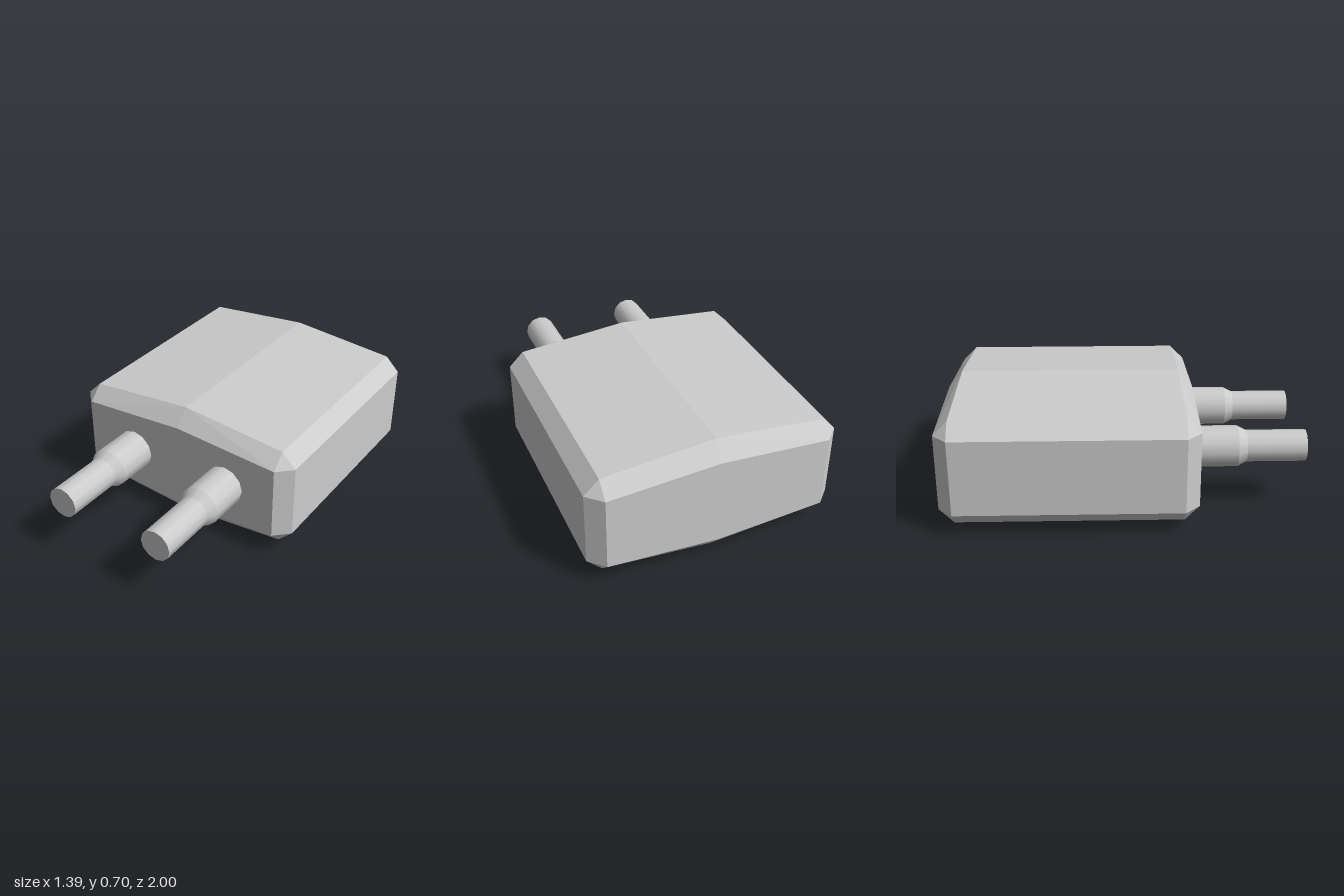
import * as THREE from 'three';
import { ConvexGeometry } from 'three/addons/geometries/ConvexGeometry.js';

const BACK = -1, FRONT = 0.39, BEVEL = 0.08;
const MID_Y = 0.348;

// Chamfered block with a shallow ridge along the middle of its top and bottom.
function bodyGeometry() {
  const points = [];
  const add = (x, h, z) => {
    for (const sy of [-1, 1]) points.push(new THREE.Vector3(x, MID_Y + sy * h, z));
  };
  for (const [faceZ, rimZ] of [[FRONT, FRONT - BEVEL], [BACK, BACK + BEVEL]]) {
    add(0, 0.252, faceZ);
    add(0, 0.348, rimZ);
    for (const s of [-1, 1]) {
      add(s * 0.613, 0.211, faceZ); // end face corner
      add(s * 0.613, 0.292, rimZ);  // top and bottom corner
      add(s * 0.695, 0.211, rimZ);  // side corner
    }
  }
  return new ConvexGeometry(points);
}

// Stepped pin: wide collar, short taper, narrow tip, running along +z.
function makePin(name, x, material) {
  const pin = new THREE.Group();
  pin.name = name;
  const sections = [
    ['collar', 0.115, 0.115, FRONT - 0.01, 0.62, true],
    ['taper', 0.115, 0.089, 0.62, 0.67, true],
    ['tip', 0.089, 0.089, 0.67, 1, false],
  ];
  for (const [part, r0, r1, z0, z1, open] of sections) {
    const geometry = new THREE.CylinderGeometry(r1, r0, z1 - z0, 12, 1, open);
    geometry.rotateX(Math.PI / 2).translate(0, 0, (z0 + z1) / 2);
    const mesh = new THREE.Mesh(geometry, material);
    mesh.name = part;
    pin.add(mesh);
  }
  pin.position.set(x, MID_Y + 0.002, 0);
  return pin;
}

export function createModel() {
  const model = new THREE.Group();
  model.name = 'twoPinBlock';
  const body = new THREE.Mesh(
    bodyGeometry(),
    new THREE.MeshStandardMaterial({ color: 0xcccccc, flatShading: true })
  );
  body.name = 'body';
  const pinMaterial = new THREE.MeshStandardMaterial({ color: 0xcccccc });
  model.add(body, makePin('leftPin', 0.306, pinMaterial), makePin('rightPin', -0.306, pinMaterial));
  return model;
}
